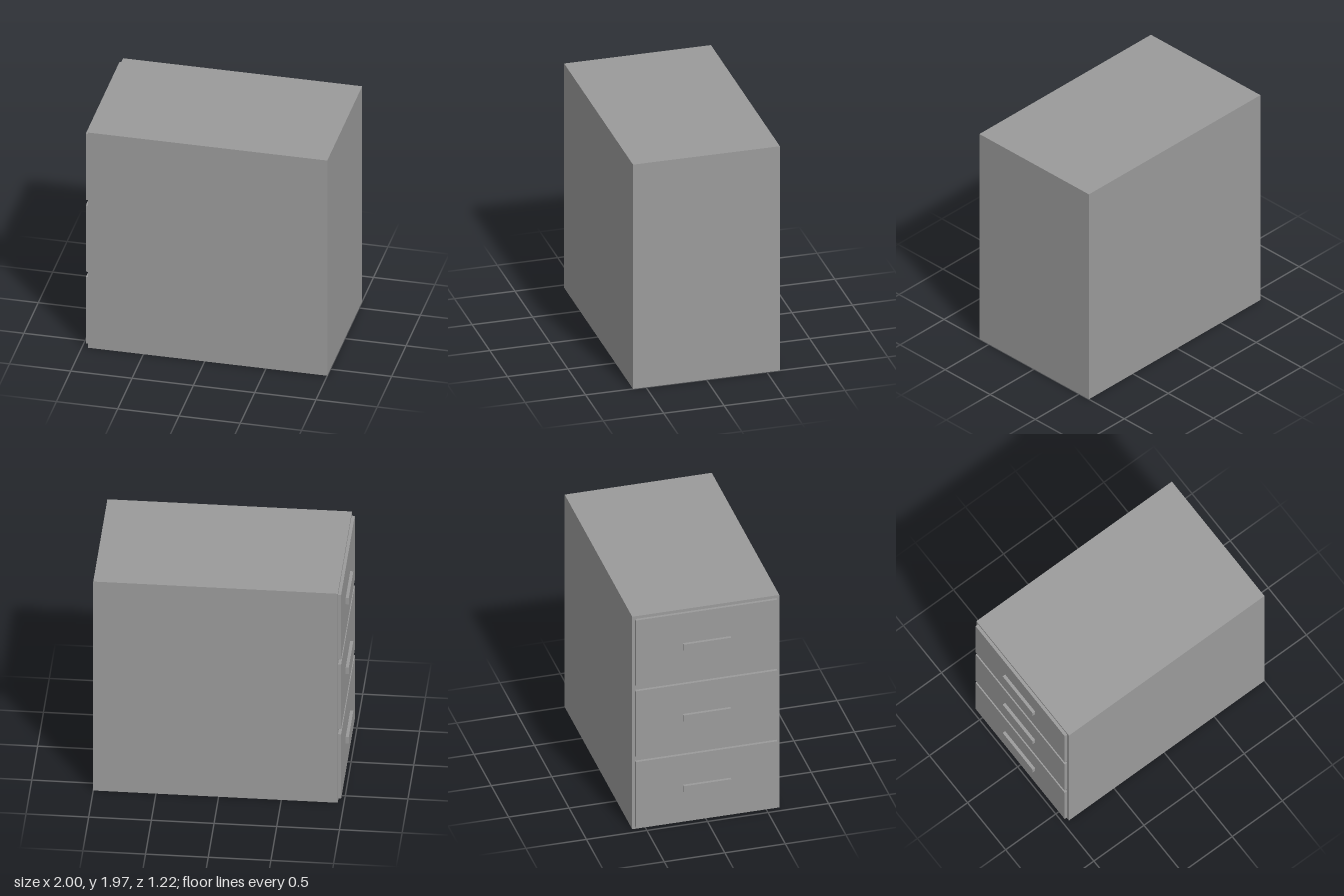
import * as THREE from 'three';

const material = new THREE.MeshStandardMaterial({ color: 0x9a9a9a });

// Box given by its extents in x and y, centred on z = 0
function slab(name, x0, x1, y0, y1, depth) {
  const mesh = new THREE.Mesh(new THREE.BoxGeometry(x1 - x0, y1 - y0, depth), material);
  mesh.position.set((x0 + x1) / 2, (y0 + y1) / 2, 0);
  mesh.name = name;
  return mesh;
}

export function createModel() {
  const cabinet = new THREE.Group();
  cabinet.name = 'drawerCabinet';

  // Body
  cabinet.add(slab('body', -0.95, 1, 0, 1.972, 1.215));

  // Three drawers on the -x side, each a front panel with a bar handle
  const pitch = 0.657;
  for (let i = 0; i < 3; i++) {
    const y = 0.329 + i * pitch;
    const drawer = new THREE.Group();
    drawer.name = `drawer${i + 1}`;
    drawer.add(slab('drawerFront', -0.975, -0.95, y - 0.304, y + 0.304, 1.17));
    drawer.add(slab('handle', -1, -0.975, y - 0.03, y + 0.03, 0.394));
    cabinet.add(drawer);
  }
  return cabinet;
}
